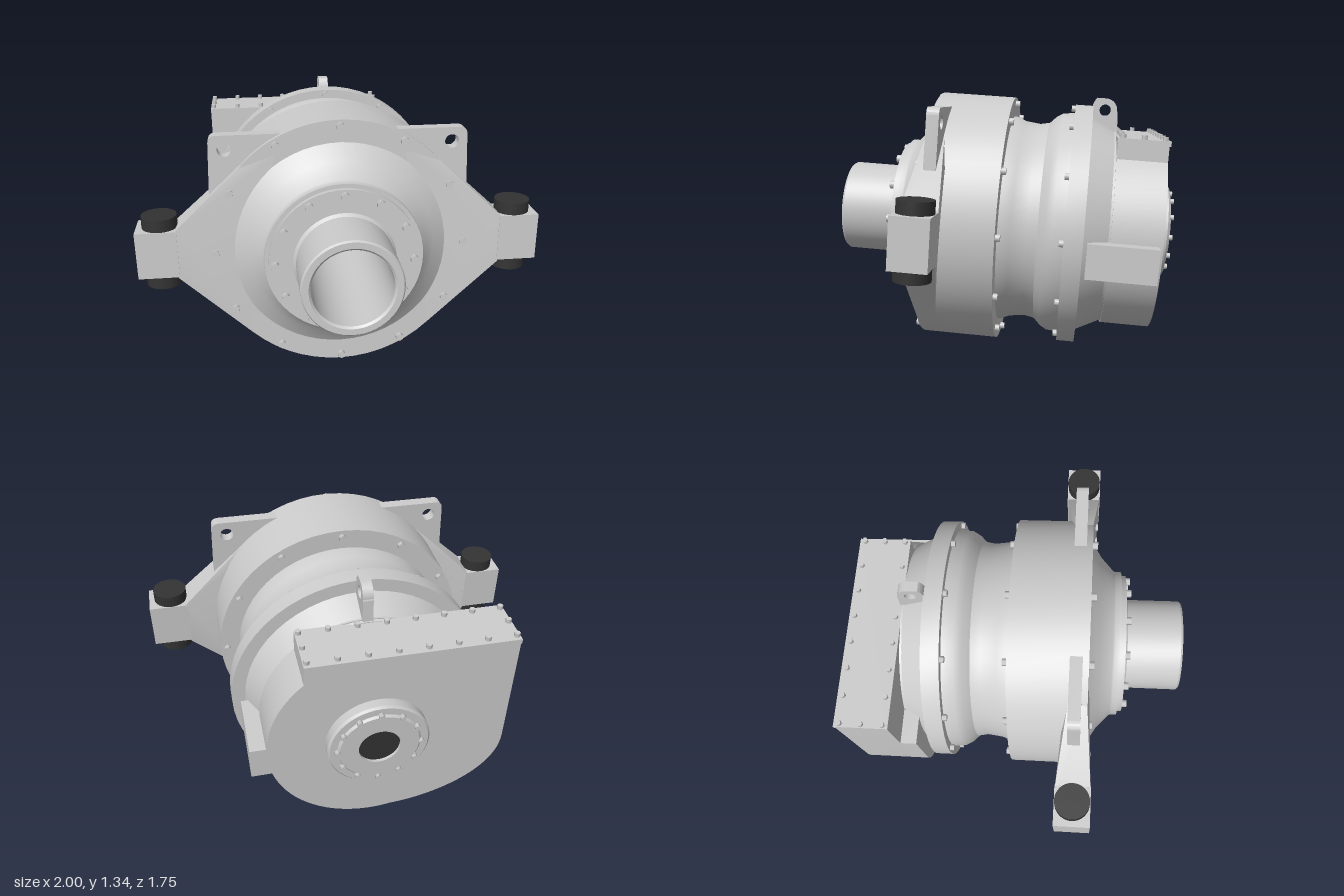
import * as THREE from 'three';
import { toCreasedNormals } from 'three/addons/utils/BufferGeometryUtils.js';

const TILT = -0.07; // the shaft axis rises towards the front
const grey = new THREE.MeshStandardMaterial({ color: 0xcccccc, side: THREE.DoubleSide });
const dark = new THREE.MeshStandardMaterial({ color: 0x333333 });

export function createModel() {
  const model = new THREE.Group();
  model.name = 'gearbox';
  const body = new THREE.Group();
  body.name = 'tiltedAssembly';
  body.position.y = 0.664;
  body.rotation.x = TILT;
  model.add(body);

  const add = (name, geometry, x = 0, y = 0, z = 0, material = grey) => {
    const mesh = new THREE.Mesh(geometry, material);
    mesh.name = name;
    mesh.position.set(x, y, z);
    body.add(mesh);
    return mesh;
  };
  // Turned part about the shaft axis; points are [radius, z]
  const turned = (name, points, segments = 48) => {
    const g = new THREE.LatheGeometry(points.map(([r, z]) => new THREE.Vector2(r, z)), segments);
    return add(name, toCreasedNormals(g.rotateX(Math.PI / 2), 0.5));
  };
  // Flat plate between two z positions
  const plate = (name, shape, z0, z1) => {
    const g = new THREE.ExtrudeGeometry(shape, { depth: z1 - z0, bevelEnabled: false, curveSegments: 24 });
    return add(name, toCreasedNormals(g, 0.5), 0, 0, z0);
  };
  const hole = (x, y, r) => new THREE.Path().absarc(x, y, r, 0, Math.PI * 2, true);

  // Hex bolts: a ring around the axis, or single ones
  const boltZ = new THREE.CylinderGeometry(0.02, 0.02, 0.05, 6).rotateX(Math.PI / 2);
  const boltY = new THREE.CylinderGeometry(0.014, 0.014, 0.04, 6);
  const boltRing = (name, radius, z, count, size = 1) => {
    for (let i = 0; i < count; i++) {
      const a = (i / count) * Math.PI * 2;
      add(name, boltZ, Math.sin(a) * radius, Math.cos(a) * radius, z).scale.setScalar(size);
    }
  };

  // Main casing, front cone, output sleeve and bore
  turned('casing', [
    [0.2, -0.54], [0.5, -0.54], [0.57, -0.4],
    [0.635, -0.4], [0.635, -0.31], [0.59, -0.31], [0.585, -0.25], [0.565, -0.215],
    [0.53, -0.18], [0.52, -0.13], [0.53, -0.05], [0.55, 0], [0.55, 0.01],
    [0.65, 0.01], [0.65, 0.395], [0.54, 0.395], [0.46, 0.445], [0.39, 0.51],
    [0.385, 0.52], [0.385, 0.55], [0.365, 0.55], [0.365, 0.575], [0.25, 0.575],
    [0.237, 0.59], [0.237, 0.86], [0.23, 0.87], [0.2, 0.87], [0.19, 0.86], [0.19, -0.76],
  ], 56);
  boltRing('frontFlangeBolt', 0.62, 0.395, 12);
  boltRing('rearFlangeBolt', 0.615, 0.01, 12, 0.9);
  boltRing('sleeveFlangeBolt', 0.335, 0.575, 12);
  boltRing('ringBolt', 0.612, -0.31, 12, 0.85);

  // Rear housing: round on the left, square-shouldered on the right
  const housing = (stepped) => {
    const s = new THREE.Shape();
    if (stepped) {
      s.moveTo(-0.645, 0.2).lineTo(-0.47, 0.2);
      s.absarc(0, 0, 0.51, 2.74, -1.76, true);
    } else {
      s.moveTo(-0.645, 0.47).lineTo(0.34, 0.47).lineTo(0.34, 0.39);
      s.absarc(0, 0, 0.518, 0.854, -1.76, true);
    }
    s.bezierCurveTo(-0.35, -0.5, -0.645, -0.36, -0.645, -0.12);
    s.closePath();
    s.holes.push(hole(0, 0, 0.2));
    return s;
  };
  plate('rearHousingStep', housing(true), -0.53, -0.45);
  plate('rearHousing', housing(false), -0.78, -0.53);

  // Bolted lid on the rear housing
  add('housingLid', new THREE.BoxGeometry(0.985, 0.025, 0.26), -0.1525, 0.482, -0.658);
  for (let i = 0; i < 8; i++) {
    const x = -0.628 + i * 0.136;
    for (const z of [-0.76, -0.658, -0.555]) {
      if (z === -0.658 && i > 0 && i < 7) continue;
      add('lidBolt', boltY, x, 0.495, z);
    }
  }

  // Side block on the left of the housing
  add('sideBlock', new THREE.BoxGeometry(0.2, 0.17, 0.34), 0.495, -0.08, -0.59);

  // Rear shaft cover with its dark centre; its inner face closes the bore
  turned('rearCover', [
    [0, -0.82], [0.1, -0.82], [0.1, -0.845], [0.19, -0.845], [0.2, -0.835],
    [0.235, -0.835], [0.245, -0.825], [0.245, -0.76], [0.195, -0.74], [0, -0.74],
  ]);
  boltRing('rearCoverBolt', 0.2, -0.84, 12, 0.7);
  const disc = (name, r, z) =>
    add(name, new THREE.CylinderGeometry(r, r, 0.01, 32).rotateX(Math.PI / 2), 0, 0, z, dark);
  disc('rearShaftOpening', 0.1, -0.825);
  disc('boreOpening', 0.055, -0.737);

  // Rear lifting eye, drawn in the z-y plane
  const eye = new THREE.Shape();
  eye.moveTo(-0.54, 0.45).lineTo(-0.53, 0.61);
  eye.absarc(-0.465, 0.617, 0.062, Math.PI, Math.PI / 2, true);
  eye.lineTo(-0.42, 0.679);
  eye.quadraticCurveTo(-0.4, 0.66, -0.395, 0.62);
  eye.lineTo(-0.36, 0.6).lineTo(-0.36, 0.45).closePath();
  eye.holes.push(hole(-0.465, 0.617, 0.03));
  const eyeGeo = new THREE.ExtrudeGeometry(eye, { depth: 0.05, bevelEnabled: false });
  add('liftingEye', eyeGeo.rotateY(-Math.PI / 2), 0.025, 0, 0);

  // Mounting arms, lifting lugs and rubber mounts on both sides
  for (const m of [1, -1]) {
    const arm = new THREE.Shape();
    arm.moveTo(m * 0.3, 0.5).lineTo(m * 0.48, 0.438).lineTo(m * 0.805, 0.135);
    arm.lineTo(m * 0.805, -0.115).lineTo(m * 0.45, -0.47).lineTo(m * 0.3, -0.5).closePath();
    // The arm thickens outwards to meet the end block
    const armMesh = plate('mountingArm', arm, 0, 1);
    armMesh.position.z = 0;
    const p = armMesh.geometry.attributes.position;
    for (let i = 0; i < p.count; i++) {
      const t = THREE.MathUtils.smoothstep(Math.abs(p.getX(i)), 0.55, 0.8);
      p.setZ(i, p.getZ(i) > 0.5 ? 0.394 + 0.03 * t : 0.3 - 0.05 * t);
    }
    armMesh.geometry = toCreasedNormals(armMesh.geometry, 0.5);

    const lug = new THREE.Shape();
    lug.moveTo(m * 0.25, 0.585).lineTo(m * 0.585, 0.585);
    lug.quadraticCurveTo(m * 0.625, 0.585, m * 0.625, 0.545);
    lug.lineTo(m * 0.635, 0.29).lineTo(m * 0.25, 0.29).closePath();
    lug.holes.push(hole(m * 0.55, 0.515, 0.034));
    plate('liftingLug', lug, 0.305, 0.365);

    add('armBlock', new THREE.BoxGeometry(0.2, 0.24, 0.18), m * 0.9, 0.012, 0.337);
    for (const y of [0.16, -0.137])
      add('rubberMount', new THREE.CylinderGeometry(0.087, 0.087, 0.066, 32), m * 0.885, y, 0.337, dark);
  }
  return model;
}
